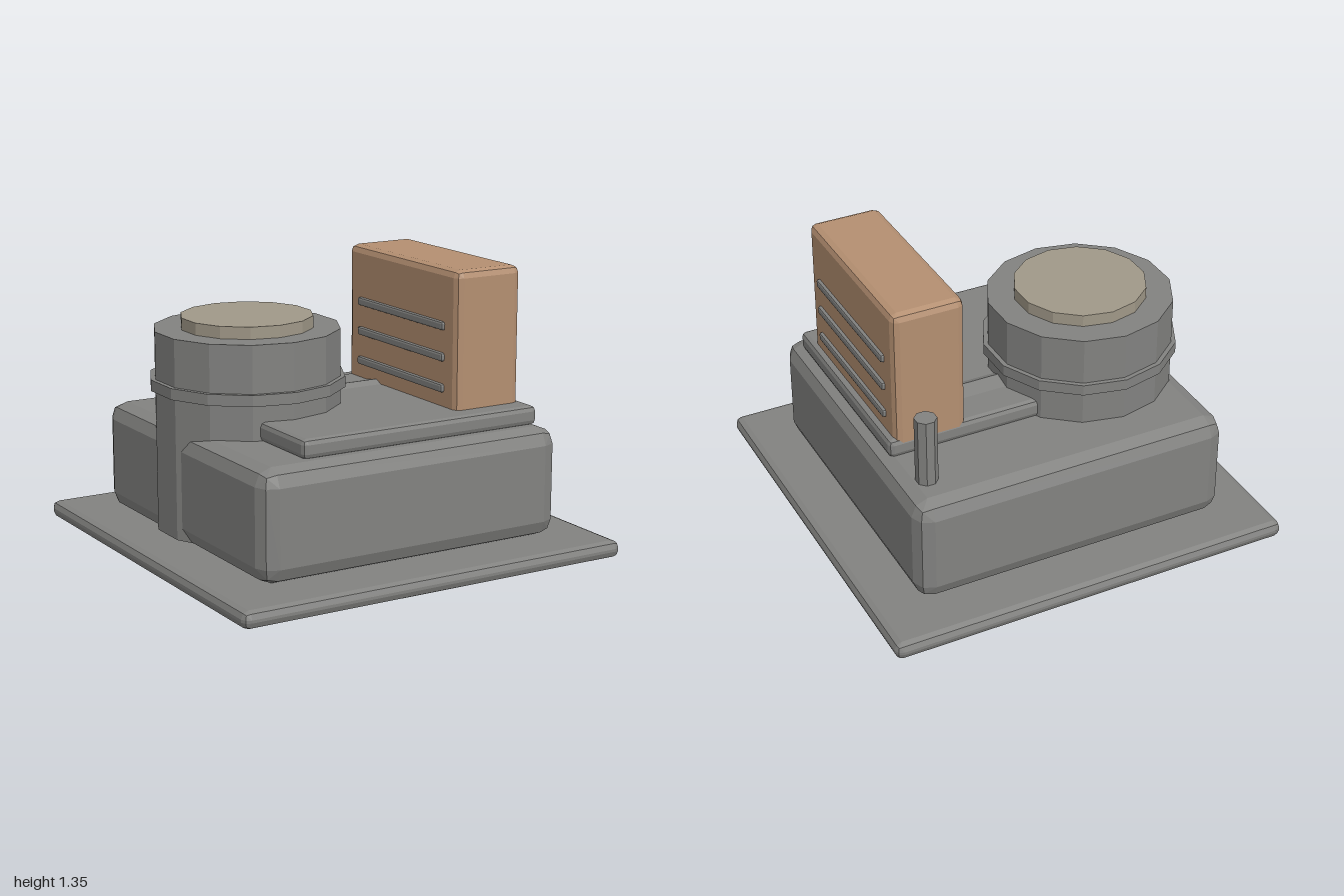
import * as THREE from 'three';
import { ConvexGeometry } from 'three/addons/geometries/ConvexGeometry.js';

const material = (name, color) => {
  const m = new THREE.MeshStandardMaterial({ color, flatShading: true });
  m.name = name;
  return m;
};

// Box given by its [min, max] ranges, with every edge rounded in two facets
function bevelBox([x0, x1], [y0, y1], [z0, z1], r) {
  const a = Math.SQRT1_2, b = 1 / Math.sqrt(3);
  const directions = [[1, 0, 0], [0, 1, 0], [0, 0, 1], [a, a, 0], [a, 0, a], [0, a, a], [b, b, b]];
  const points = [];
  for (const sx of [-1, 1]) for (const sy of [-1, 1]) for (const sz of [-1, 1]) {
    const cx = sx < 0 ? x0 + r : x1 - r;
    const cy = sy < 0 ? y0 + r : y1 - r;
    const cz = sz < 0 ? z0 + r : z1 - r;
    for (const [dx, dy, dz] of directions) {
      points.push(new THREE.Vector3(cx + sx * dx * r, cy + sy * dy * r, cz + sz * dz * r));
    }
  }
  return new ConvexGeometry(points);
}

// Upright prism between two heights
function prism(radius, y0, y1, x, z, sides, turn = 0) {
  const g = new THREE.CylinderGeometry(radius, radius, y1 - y0, sides, 1, false, turn);
  return g.translate(x, (y0 + y1) / 2, z);
}

export function createModel() {
  const group = new THREE.Group();
  const grey = material('grey metal', 0x828280);
  const copper = material('copper', 0xb48f71);
  const cream = material('dull cream', 0xa09888);

  const add = (name, geometry, mat) => {
    const mesh = new THREE.Mesh(geometry, mat);
    mesh.name = name;
    group.add(mesh);
  };

  // Ground plate, main block and raised deck
  add('basePlate', bevelBox([-1, 1], [0, 0.083], [-1, 1], 0.035), grey);
  add('body', bevelBox([-0.787, 0.787], [0.085, 0.61], [-0.787, 0.787], 0.08), grey);
  add('deck', bevelBox([-0.527, 0.732], [0.605, 0.697], [-0.367, 0.682], 0.025), grey);

  // Round tower with collar and cap
  const tx = -0.37, tz = -0.108;
  add('tower', prism(0.441, 0.105, 1.053, tx, tz, 14), grey);
  add('towerCollar', prism(0.463, 0.775, 0.828, tx, tz, 14), grey);
  add('towerCap', prism(0.313, 1.05, 1.11, tx, tz, 14), cream);

  // Pipe from tower to fin housing, mostly sunk in the deck
  const pipe = new THREE.CylinderGeometry(0.15, 0.15, 0.75, 10, 1, false, 0.215);
  add('pipe', pipe.rotateZ(Math.PI / 2).translate(0.12, 0.566, -0.125), grey);

  // Tall housing with three slats on each side
  add('housing', bevelBox([0.347, 0.7], [0.64, 1.347], [-0.365, 0.577], 0.035), copper);
  for (const y of [0.784, 0.931, 1.078]) {
    for (const x of [0.349, 0.698]) {
      add('slat', bevelBox([x - 0.019, x + 0.019], [y - 0.02, y + 0.02], [-0.262, 0.475], 0.01), grey);
    }
  }

  // Small post at the back corner
  add('post', prism(0.052, 0.58, 0.943, 0.65, -0.58, 8, Math.PI / 8), grey);

  return group;
}
